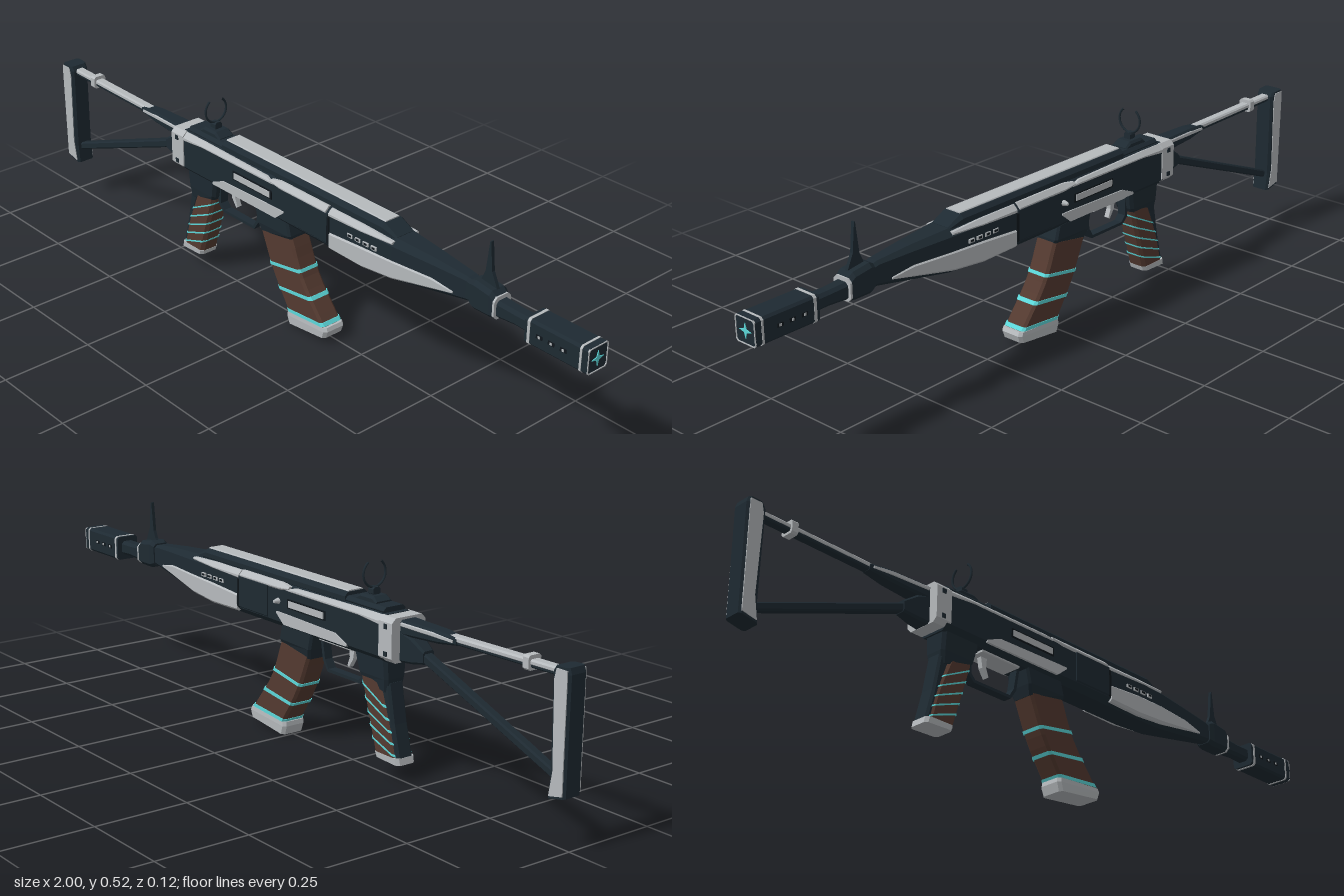
import * as THREE from 'three';

const mat = (name, color) => {
  const m = new THREE.MeshStandardMaterial({ color });
  m.name = name;
  return m;
};

export function createModel() {
  const dark = mat('dark gunmetal', 0x1e2a32);
  const black = mat('black recess', 0x10171c);
  const silver = mat('silver', 0xb6babd);
  const brown = mat('brown wrap', 0x543a30);
  const cyan = mat('cyan glow', 0x5cd8da);

  const root = new THREE.Group();
  root.name = 'rifle';
  root.position.z = 0.006;

  const add = (name, geometry, material) => {
    const mesh = new THREE.Mesh(geometry, material);
    mesh.name = name;
    root.add(mesh);
    return mesh;
  };

  // Chamfered ring between edge points A and B, with half width w and chamfer c
  const ring = ([ax, ay, bx, by, w, c = 0]) => {
    const len = Math.hypot(bx - ax, by - ay);
    c = Math.min(c, len * 0.45, w * 0.9);
    const at = (s, z) => {
      const t = len ? s / len : 0;
      return [ax + (bx - ax) * t, ay + (by - ay) * t, z];
    };
    return [
      at(len, w - c), at(len - c, w), at(c, w), at(0, w - c),
      at(0, c - w), at(c, -w), at(len - c, -w), at(len, c - w),
    ];
  };

  // Flat-faced skin through a row of rings, closed at both ends
  const skin = (name, sections, material) => {
    const rings = sections.map(ring), pos = [];
    const tri = (a, b, c) => pos.push(...a, ...b, ...c);
    for (let i = 0; i < rings.length - 1; i++) {
      for (let j = 0; j < 8; j++) {
        const k = (j + 1) % 8, a = rings[i], b = rings[i + 1];
        tri(a[j], a[k], b[k]);
        tri(a[j], b[k], b[j]);
      }
    }
    const first = rings[0], last = rings[rings.length - 1];
    for (let j = 1; j < 7; j++) {
      tri(first[0], first[j + 1], first[j]);
      tri(last[0], last[j], last[j + 1]);
    }
    const g = new THREE.BufferGeometry();
    g.setAttribute('position', new THREE.Float32BufferAttribute(pos, 3));
    g.computeVertexNormals();
    return add(name, g, material);
  };

  // Skin along x from [x, bottom, top, half width, chamfer] columns
  const loft = (name, cols, material) =>
    skin(name, cols.map(([x, y0, y1, w, c]) => [x, y0, x, y1, w, c]), material);

  const box = (name, x0, x1, y0, y1, w, c, material) =>
    loft(name, [[x0, y0, y1, w, c], [x1, y0, y1, w, c]], material);

  const extrude = (shape, depth) => {
    const g = new THREE.ExtrudeGeometry(shape, { depth, bevelEnabled: false, curveSegments: 4 });
    return g.translate(0, 0, -depth / 2);
  };
  const shapeOf = (pts) => new THREE.Shape(pts.map(([x, y]) => new THREE.Vector2(x, y)));

  // Receiver and tapering fore-end
  loft('body', [
    [-0.41, 0.297, 0.415, 0.049, 0.015], [0.3, 0.295, 0.415, 0.049, 0.017],
    [0.4, 0.299, 0.414, 0.045, 0.017], [0.52, 0.318, 0.407, 0.032, 0.013],
    [0.62, 0.335, 0.398, 0.021, 0.008], [0.65, 0.338, 0.39, 0.02, 0.008],
  ], dark);
  box('bodyBand', 0.05, 0.178, 0.302, 0.412, 0.052, 0.015, dark);
  box('bandSeam', 0.176, 0.184, 0.302, 0.405, 0.0525, 0.015, black);
  box('rearCap', -0.447, -0.398, 0.303, 0.414, 0.052, 0.012, silver);

  // Silver side panels run through the body and show on both sides
  loft('handguardPanel', [
    [0.185, 0.302, 0.35, 0.053, 0.006], [0.3, 0.3, 0.358, 0.053, 0.006],
    [0.4, 0.308, 0.361, 0.0485, 0.006], [0.52, 0.33, 0.36, 0.0355, 0.004],
    [0.585, 0.343, 0.348, 0.028, 0.001],
  ], silver);
  loft('upperFrontPanel', [
    [0.18, 0.382, 0.412, 0.051, 0.012], [0.3, 0.387, 0.412, 0.051, 0.012],
    [0.4, 0.4, 0.408, 0.046, 0.003],
  ], silver);
  loft('upperMiddlePanel', [
    [-0.04, 0.4, 0.41, 0.0515, 0.004], [0, 0.388, 0.415, 0.053, 0.012],
    [0.172, 0.388, 0.415, 0.053, 0.012],
  ], silver);
  loft('upperRearPanel', [
    [-0.398, 0.378, 0.413, 0.051, 0.014], [-0.32, 0.388, 0.413, 0.051, 0.012],
    [-0.06, 0.394, 0.41, 0.051, 0.006], [-0.03, 0.4, 0.402, 0.051, 0],
  ], silver);
  loft('lowerBlade', [
    [-0.275, 0.308, 0.314, 0.052, 0], [-0.23, 0.308, 0.333, 0.052, 0],
    [-0.02, 0.308, 0.338, 0.052, 0], [0.012, 0.334, 0.338, 0.052, 0],
  ], silver);

  // Small paired side details
  const sidePlate = (name, x0, x1, y0, y1, z, material) => {
    for (const s of [1, -1]) {
      const m = add(name, new THREE.BoxGeometry(x1 - x0, y1 - y0, 0.006), material);
      m.position.set((x0 + x1) / 2, (y0 + y1) / 2, s * z);
    }
  };
  for (let i = 0; i < 4; i++) {
    sidePlate('vent', 0.25 + i * 0.028, 0.268 + i * 0.028, 0.365, 0.375, 0.0485, silver);
    sidePlate('ventHole', 0.254 + i * 0.028, 0.264 + i * 0.028, 0.368, 0.373, 0.05, black);
  }
  sidePlate('capScrew', -0.43, -0.418, 0.386, 0.398, 0.051, dark);
  sidePlate('capScrew', -0.43, -0.418, 0.318, 0.33, 0.051, dark);
  sidePlate('portFrame', -0.19, -0.035, 0.354, 0.379, 0.048, black);
  sidePlate('portCover', -0.184, -0.041, 0.358, 0.375, 0.05, silver);

  // Charging handle on the right side
  const handle = add('chargingHandle', new THREE.CylinderGeometry(0.004, 0.01, 0.02, 8), silver);
  handle.rotation.x = -Math.PI / 2;
  handle.position.set(0.005, 0.366, -0.054);

  // Top rail with a silver strip
  loft('topRail', [
    [-0.25, 0.405, 0.437, 0.036, 0.01], [0.355, 0.405, 0.437, 0.036, 0.01],
    [0.4, 0.405, 0.415, 0.03, 0.004],
  ], dark);
  box('railStrip', -0.247, 0.355, 0.43, 0.44, 0.023, 0.002, silver);

  // Rear sight with an open ring
  box('rearSightFoot', -0.395, -0.25, 0.41, 0.428, 0.034, 0.008, dark);
  loft('rearSightBase', [
    [-0.355, 0.42, 0.432, 0.025, 0.004], [-0.34, 0.42, 0.443, 0.025, 0.006],
    [-0.295, 0.42, 0.443, 0.025, 0.006], [-0.275, 0.42, 0.43, 0.025, 0.004],
  ], dark);
  box('rearSightStem', -0.328, -0.308, 0.44, 0.461, 0.011, 0.005, dark);
  const gap = 0.62;
  const loop = add('rearSightRing', new THREE.TorusGeometry(0.0345, 0.0032, 6, 28, Math.PI * 2 - gap * 2), dark);
  loop.geometry.rotateZ(Math.PI / 2 + gap).rotateY(Math.PI / 2);
  loop.position.set(-0.318, 0.494, 0);

  // Front sight block and spike
  loft('frontSightBlock', [
    [0.635, 0.335, 0.398, 0.024, 0.008], [0.65, 0.328, 0.405, 0.029, 0.01],
    [0.7, 0.328, 0.398, 0.029, 0.01], [0.715, 0.33, 0.385, 0.026, 0.01],
  ], dark);
  box('frontSightTrim', 0.711, 0.717, 0.329, 0.387, 0.028, 0.01, silver);
  add('frontSightSpike', extrude(shapeOf([
    [0.645, 0.395], [0.705, 0.39], [0.695, 0.412], [0.684, 0.435], [0.676, 0.51], [0.673, 0.51], [0.664, 0.43], [0.655, 0.41],
  ]), 0.009), dark);

  // Barrel and square muzzle
  loft('barrel', [
    [0.7, 0.332, 0.378, 0.021, 0.008], [0.77, 0.336, 0.374, 0.019, 0.008],
    [0.83, 0.334, 0.374, 0.02, 0.008],
  ], dark);
  box('muzzle', 0.815, 0.998, 0.32, 0.387, 0.033, 0.006, dark);
  box('muzzleRearTrim', 0.823, 0.831, 0.319, 0.388, 0.034, 0.006, silver);
  box('muzzleFrontTrim', 0.975, 0.981, 0.319, 0.388, 0.034, 0.006, silver);
  for (let i = 0; i < 3; i++) {
    sidePlate('muzzlePort', 0.85 + i * 0.035, 0.868 + i * 0.035, 0.349, 0.359, 0.0315, black);
    sidePlate('muzzlePortDot', 0.856 + i * 0.035, 0.862 + i * 0.035, 0.351, 0.357, 0.033, silver);
  }
  const square = (h) => shapeOf([
    [-h, -h + 0.005], [-h + 0.005, -h], [h - 0.005, -h], [h, -h + 0.005],
    [h, h - 0.005], [h - 0.005, h], [-h + 0.005, h], [-h, h - 0.005],
  ]);
  const frame = square(0.033);
  frame.holes.push(square(0.0305));
  const star = shapeOf(Array.from({ length: 8 }, (_, i) => {
    const r = i % 2 ? 0.006 : 0.02, a = i * Math.PI / 4;
    return [r * Math.cos(a), r * Math.sin(a)];
  }));
  for (const [name, shape, material] of [['muzzleFrame', frame, silver], ['muzzleStar', star, cyan]]) {
    const m = add(name, extrude(shape, 0.004), material);
    m.rotation.y = Math.PI / 2;
    m.position.set(0.998, 0.3535, 0);
  }

  // Folding stock: two struts, collar and butt plate
  loft('upperStrut', [[-0.96, 0.39, 0.405, 0.012, 0.003], [-0.6, 0.384, 0.4, 0.012, 0.003]], dark);
  loft('upperStrutCover', [[-0.95, 0.395, 0.409, 0.0135, 0.004], [-0.59, 0.389, 0.404, 0.0135, 0.004]], silver);
  box('strutCollar', -0.868, -0.85, 0.382, 0.417, 0.019, 0.005, silver);
  loft('upperStrutRoot', [
    [-0.63, 0.384, 0.402, 0.015, 0.004], [-0.57, 0.376, 0.407, 0.021, 0.006],
    [-0.445, 0.37, 0.408, 0.026, 0.006],
  ], dark);
  loft('strutRootPanel', [
    [-0.62, 0.39, 0.396, 0.019, 0], [-0.56, 0.391, 0.402, 0.0235, 0.002], [-0.45, 0.393, 0.403, 0.028, 0.002],
  ], silver);
  loft('lowerStrut', [[-0.955, 0.15, 0.172, 0.012, 0.004], [-0.5, 0.322, 0.346, 0.014, 0.004]], dark);
  loft('strutWeb', [
    [-0.52, 0.313, 0.345, 0.017, 0.005], [-0.48, 0.306, 0.372, 0.023, 0.006],
    [-0.44, 0.303, 0.385, 0.027, 0.006],
  ], dark);
  skin('buttPlate', [
    [-0.995, 0.42, -0.955, 0.418, 0.027, 0.006], [-1, 0.405, -0.947, 0.405, 0.027, 0.006],
    [-0.998, 0.17, -0.95, 0.165, 0.027, 0.006], [-0.998, 0.125, -0.945, 0.114, 0.027, 0.006],
  ], dark);
  skin('buttSidePanel', [
    [-0.993, 0.414, -0.962, 0.414, 0.029], [-0.994, 0.39, -0.956, 0.39, 0.029],
    [-0.993, 0.19, -0.962, 0.18, 0.029], [-0.993, 0.13, -0.952, 0.121, 0.029],
  ], silver);

  // Swept handles: rear and front edge curves joined by rings
  const curve = (pts) => new THREE.CatmullRomCurve3(pts.map(([x, y]) => new THREE.Vector3(x, y, 0)));
  const sweep = (name, rear, front, t0, t1, tilt, grow, w, c, material, n = 6) => {
    const sections = [];
    for (let i = 0; i <= n; i++) {
      const t = t0 + (t1 - t0) * i / n;
      const a = rear.getPoint(Math.min(1, t + tilt)), b = front.getPoint(t);
      const d = b.clone().sub(a).setLength(grow);
      sections.push([a.x - d.x, a.y - d.y, b.x + d.x, b.y + d.y, w + grow, c]);
    }
    return skin(name, sections, material);
  };

  // Magazine
  const magRear = curve([[-0.1, 0.235], [-0.056, 0.135], [0.008, 0.035]]);
  const magFront = curve([[0.02, 0.255], [0.062, 0.155], [0.145, 0.046]]);
  skin('magazineWell', [
    [-0.12, 0.3, 0.01, 0.3, 0.038, 0.006], [-0.11, 0.258, 0.02, 0.262, 0.038, 0.006],
    [-0.1, 0.23, 0.02, 0.25, 0.031, 0.006],
  ], dark);
  sweep('magazine', magRear, magFront, 0, 1, 0, 0, 0.033, 0.007, brown, 8);
  for (const t of [0.39, 0.69, 0.955])
    sweep('magazineStripe', magRear, magFront, t, t + 0.04, 0, 0.0018, 0.033, 0.007, cyan, 1);
  skin('magazineBase', [
    [0.002, 0.036, 0.152, 0.046, 0.034, 0.008], [0, 0.024, 0.157, 0.036, 0.035, 0.008],
    [0.008, 0, 0.15, 0.016, 0.034, 0.008],
  ], silver);

  // Pistol grip
  const gripRear = curve([[-0.375, 0.235], [-0.415, 0.14], [-0.44, 0.052]]);
  const gripFront = curve([[-0.298, 0.255], [-0.33, 0.15], [-0.36, 0.052]]);
  skin('gripRoot', [
    [-0.405, 0.3, -0.285, 0.3, 0.036, 0.008], [-0.405, 0.25, -0.297, 0.25, 0.032, 0.008],
    [-0.4, 0.215, -0.305, 0.235, 0.027, 0.008],
  ], dark);
  sweep('grip', gripRear, gripFront, 0, 1, 0, 0, 0.029, 0.009, brown);
  skin('gripSpine', [
    [-0.405, 0.24, -0.37, 0.24, 0.024, 0.006], [-0.424, 0.14, -0.405, 0.14, 0.024, 0.006],
    [-0.447, 0.052, -0.43, 0.052, 0.024, 0.006],
  ], dark);
  for (let i = 0; i < 5; i++)
    sweep('gripStripe', gripRear, gripFront, 0.13 + i * 0.16, 0.155 + i * 0.16, 0.15, 0.0015, 0.029, 0.009, cyan, 1);
  skin('gripBase', [
    [-0.446, 0.06, -0.357, 0.06, 0.03, 0.008], [-0.45, 0.043, -0.362, 0.046, 0.029, 0.008],
  ], silver);

  // Trigger guard and trigger
  const guard = shapeOf([[-0.3, 0.3], [-0.3, 0.226], [-0.28, 0.208], [-0.152, 0.208], [-0.133, 0.236], [-0.122, 0.3]]);
  guard.holes.push(shapeOf([[-0.29, 0.294], [-0.29, 0.231], [-0.276, 0.216], [-0.156, 0.216], [-0.142, 0.238], [-0.132, 0.294]]));
  add('triggerGuard', extrude(guard, 0.024), dark);
  add('trigger', extrude(shapeOf([
    [-0.255, 0.3], [-0.248, 0.262], [-0.232, 0.238], [-0.226, 0.242], [-0.235, 0.265], [-0.232, 0.3],
  ]), 0.014), silver);
  box('triggerPlate', -0.27, -0.14, 0.291, 0.3, 0.03, 0.002, silver);

  return root;
}
